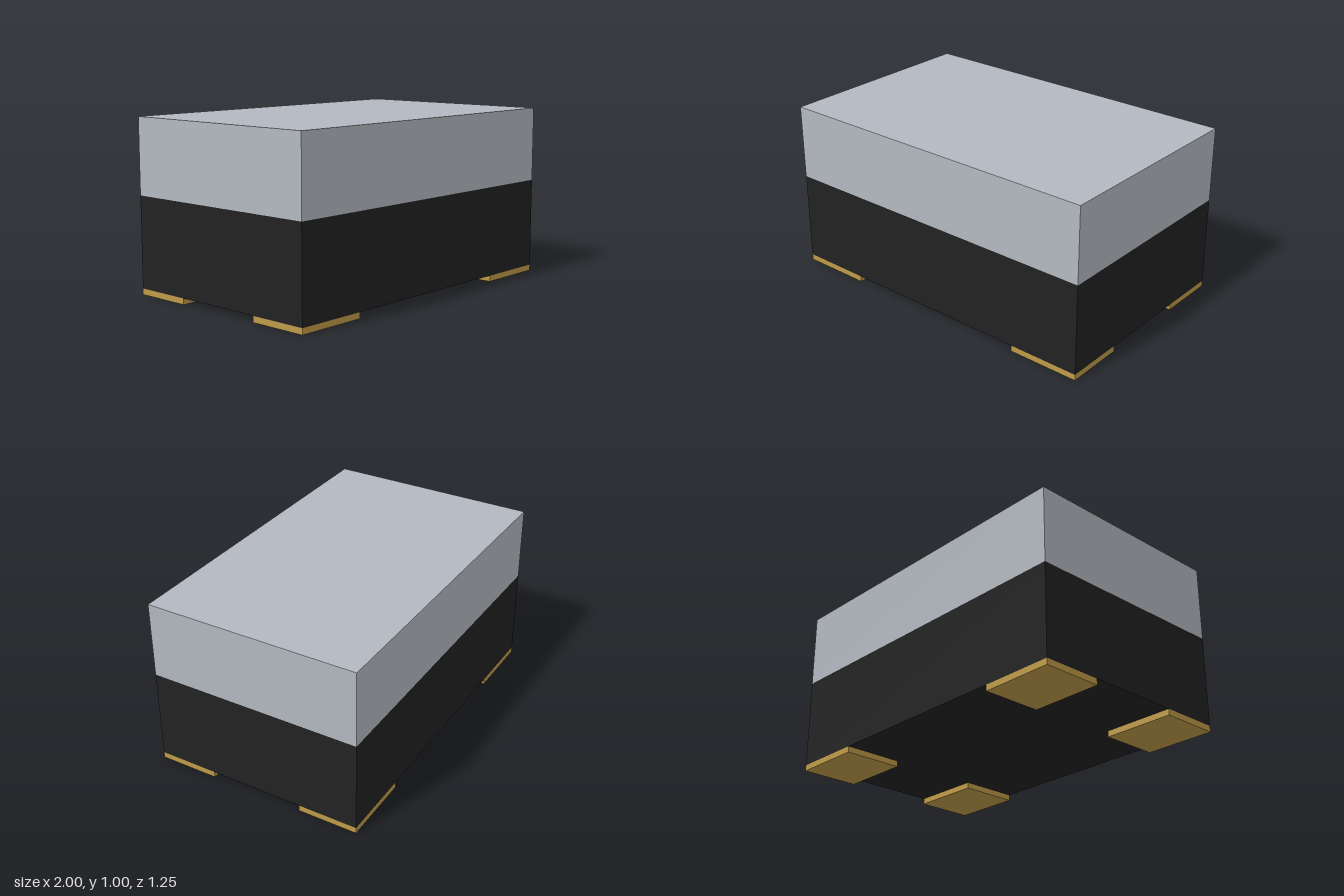
import * as THREE from 'three';

export function createModel() {
  const group = new THREE.Group();
  const material = (name, color) => {
    const m = new THREE.MeshStandardMaterial({ color });
    m.name = name;
    return m;
  };
  const silver = material('silver grey', 0xb3b8c0);
  const black = material('black', 0x222222);
  const gold = material('gold', 0xbe9b48);

  // Box given by its footprint, bottom and top heights, and centre
  function slab(name, mat, width, depth, bottom, top, x = 0, z = 0) {
    const mesh = new THREE.Mesh(new THREE.BoxGeometry(width, top - bottom, depth), mat);
    mesh.position.set(x, (bottom + top) / 2, z);
    mesh.name = name;
    group.add(mesh);
  }

  const W = 2, D = 1.25, padW = 0.425, padD = 0.35, padTop = 0.035, seam = 0.562;

  // Package base and metal lid, flush on all sides
  slab('base', black, W, D, padTop, seam);
  slab('lid', silver, W, D, seam, 1);

  // Contact pads flush with the four bottom corners
  for (const sx of [-1, 1]) {
    for (const sz of [-1, 1]) {
      const name = (sz > 0 ? 'front' : 'back') + (sx > 0 ? 'Left' : 'Right') + 'Pad';
      slab(name, gold, padW, padD, 0, padTop, sx * (W - padW) / 2, sz * (D - padD) / 2);
    }
  }
  return group;
}
